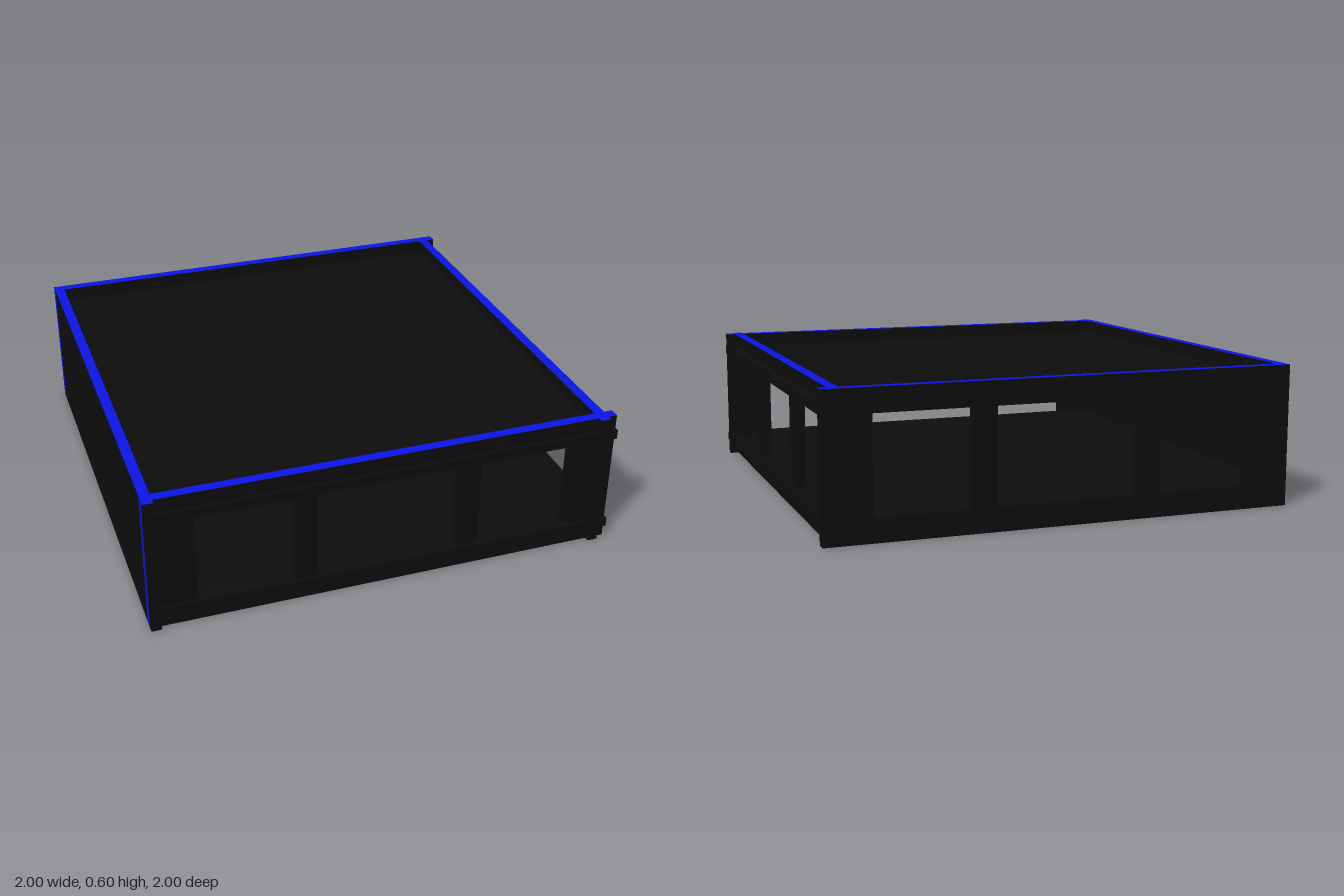
import * as THREE from 'three';

const HEIGHT = 0.6;
const THICK = 0.043;

export function createModel() {
  const group = new THREE.Group();
  const dark = new THREE.MeshStandardMaterial({ color: 0x0d0d0d });
  const blue = new THREE.MeshStandardMaterial({ color: 0x0a14e6 });

  const add = (parent, name, geometry, material, x = 0, y = 0, z = 0) => {
    const mesh = new THREE.Mesh(geometry, material);
    mesh.name = name;
    mesh.position.set(x, y, z);
    parent.add(mesh);
    return mesh;
  };

  const rectangle = (PathType, x0, x1, y0, y1) => {
    const p = new PathType();
    p.moveTo(x0, y0);
    p.lineTo(x1, y0);
    p.lineTo(x1, y1);
    p.lineTo(x0, y1);
    p.closePath();
    return p;
  };

  // Upright wall panel with optional window openings and a blue top edge
  const wall = (name, windows, blueEnd) => {
    const panel = new THREE.Group();
    panel.name = name;
    const shape = rectangle(THREE.Shape, -1, 1, 0, HEIGHT);
    for (const [x0, x1] of windows) shape.holes.push(rectangle(THREE.Path, x0, x1, 0.1, 0.5));
    add(panel, 'wallPanel', new THREE.ExtrudeGeometry(shape, { depth: THICK, bevelEnabled: false }), dark);

    const top = new THREE.PlaneGeometry(2, THICK).rotateX(-Math.PI / 2);
    add(panel, 'topEdge', top, blue, 0, HEIGHT + 0.0005, THICK / 2);
    if (blueEnd) {
      const end = new THREE.PlaneGeometry(THICK, HEIGHT).rotateY(-Math.PI / 2);
      add(panel, 'endEdge', end, blue, -1.0005, HEIGHT / 2, THICK / 2);
    }
    group.add(panel);
    return panel;
  };

  const openings = [[-0.8, -0.4], [-0.3, 0.3], [0.4, 0.8]];

  // Front and back walls run across x, overlapping the side walls at the corners
  wall('frontWall', openings, true).position.z = 0.936;
  wall('backWall', openings, true).position.z = -1;

  // Side walls: windows on the model's left, solid on its right
  for (const [name, windows, x] of [['leftWall', openings, 0.92], ['rightWall', [], -1]]) {
    const side = wall(name, windows, false);
    side.rotation.y = Math.PI / 2;
    side.position.x = x;
  }

  // Floor and roof plates, recessed from the wall edges
  add(group, 'floor', new THREE.BoxGeometry(2, 0.04, 2), dark, 0, 0.08, 0);
  add(group, 'roof', new THREE.BoxGeometry(2, 0.04, 2), dark, 0, 0.52, 0);

  return group;
}
